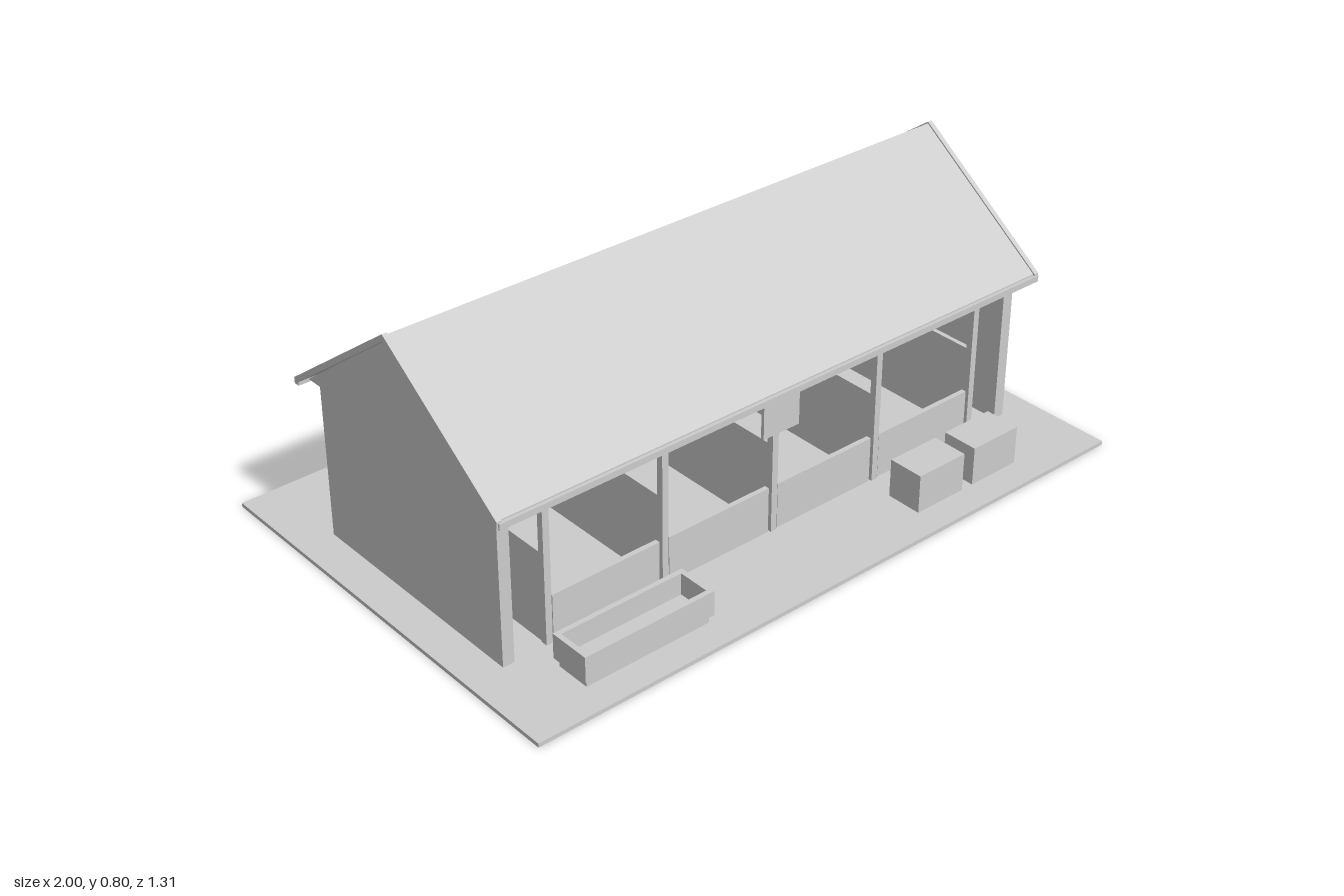
import * as THREE from 'three';

const paint = new THREE.MeshStandardMaterial({ color: 0xcccccc });
paint.name = 'plain grey';

export function createModel() {
  const stable = new THREE.Group();
  stable.name = 'stable';

  // Box given by its min and max on each axis
  function box(name, x0, x1, y0, y1, z0, z1, parent = stable) {
    const mesh = new THREE.Mesh(new THREE.BoxGeometry(x1 - x0, y1 - y0, z1 - z0), paint);
    mesh.position.set((x0 + x1) / 2, (y0 + y1) / 2, (z0 + z1) / 2);
    mesh.name = name;
    parent.add(mesh);
    return mesh;
  }

  // Cross-section in (z, y), extruded along x
  function alongX(name, points, x0, x1) {
    const shape = new THREE.Shape(points.map(([z, y]) => new THREE.Vector2(-z, y)));
    const geo = new THREE.ExtrudeGeometry(shape, { depth: x1 - x0, bevelEnabled: false });
    geo.rotateY(Math.PI / 2);
    geo.translate(x0, 0, 0);
    const mesh = new THREE.Mesh(geo, paint);
    mesh.name = name;
    stable.add(mesh);
  }

  const floor = 0.012, top = 0.475;
  box('ground', -1, 1, 0, floor, -0.655, 0.655);

  // Outer walls
  box('backWall', -0.885, 0.885, floor, top, -0.38, -0.367);
  for (const s of [-1, 1]) {
    box('sideWall', s * 0.875 - 0.0175, s * 0.875 + 0.0175, floor, top, -0.37, 0.375);
  }

  // Stalls: posts, partitions and low front walls
  const pitch = 0.3745;
  for (let i = 0; i <= 4; i++) {
    const x = (i - 2) * pitch;
    box('post', x - 0.01, x + 0.01, floor, top, 0.355, 0.375);
    box('stallPartition', x - 0.007, x + 0.007, floor, 0.28, -0.367, 0.355);
    if (i < 4) {
      box('stallFront', x + 0.016, x + pitch - 0.016, floor, 0.15, 0.355, 0.37);
    }
  }

  // Hanging sign with its bracket
  box('sign', -0.062, 0.062, 0.33, 0.458, 0.385, 0.395);
  box('signBracket', -0.006, 0.006, 0.46, 0.468, 0.37, 0.43);

  // Roof: attic filling, slopes, gable trim and eave boards
  alongX('gable', [[-0.41, top], [0.41, top], [0, 0.777]], -0.9, 0.9);
  const slope = [[0.425, 0.482], [0, 0.79], [-0.425, 0.482], [-0.425, 0.467], [0, 0.775], [0.425, 0.467]];
  alongX('roofSlopes', slope, -0.915, 0.915);
  const trim = [[0.43, 0.483], [0, 0.795], [-0.43, 0.483], [-0.43, 0.463], [0, 0.775], [0.43, 0.463]];
  for (const s of [-1, 1]) {
    alongX('gableTrim', trim, s * 0.922 - 0.0075, s * 0.922 + 0.0075);
    box('eaveBoard', -0.925, 0.925, 0.46, 0.478, s * 0.427 - 0.008, s * 0.427 + 0.008);
  }

  // Side window with upright bars
  box('windowPanel', 0.89, 0.902, 0.18, 0.325, -0.165, 0.145);
  for (const z of [0.075, -0.048, -0.148]) {
    box('windowBar', 0.9, 0.913, 0.185, 0.303, z - 0.003, z + 0.003);
  }

  // Open trough
  const trough = new THREE.Group();
  trough.name = 'trough';
  stable.add(trough);
  box('troughBase', -0.785, -0.395, floor, 0.045, 0.46, 0.565, trough);
  for (const z of [0.457, 0.567]) {
    box('troughSide', -0.795, -0.385, 0.036, 0.11, z - 0.0075, z + 0.0075, trough);
  }
  for (const x of [-0.7875, -0.3925]) {
    box('troughEnd', x - 0.0075, x + 0.0075, 0.036, 0.11, 0.4645, 0.5595, trough);
  }

  // Hay bales
  for (const x of [0.435, 0.645]) {
    box('hayBale', x - 0.085, x + 0.085, floor, 0.128, 0.458, 0.567);
  }
  return stable;
}
